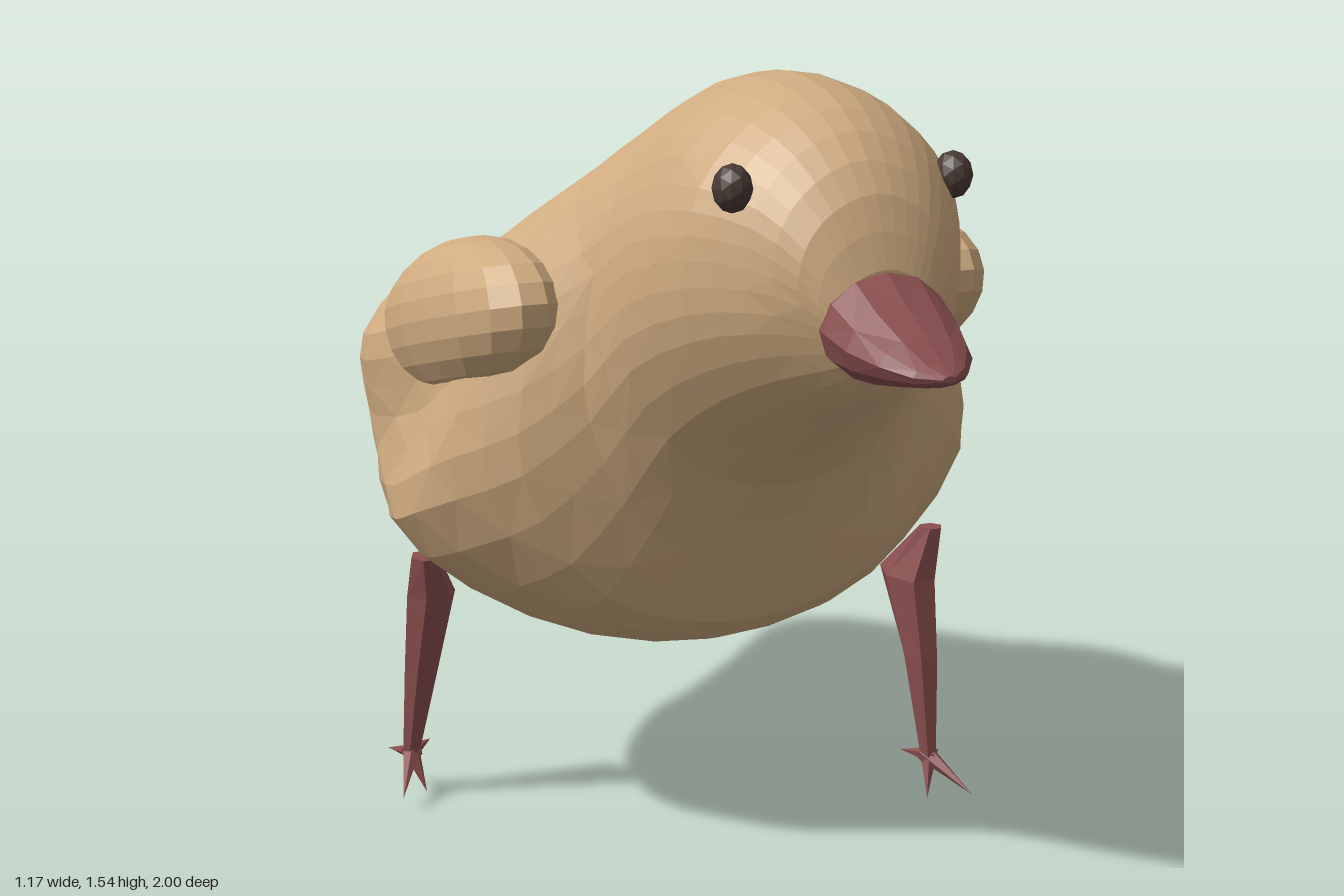
import * as THREE from 'three';

const mat = (name, color) => {
  const m = new THREE.MeshStandardMaterial({ color, flatShading: true });
  m.name = name;
  return m;
};

// Skin closed rings of points into one capped surface
function loft(rings) {
  const n = rings[0].length, pos = [], idx = [];
  const centre = (r) => r.reduce((s, p) => s.add(p), new THREE.Vector3()).divideScalar(n);
  rings.forEach((r) => r.forEach((p) => pos.push(p.x, p.y, p.z)));
  for (let i = 0; i < rings.length - 1; i++) {
    for (let j = 0; j < n; j++) {
      const a = i * n + j, b = i * n + (j + 1) % n, c = a + n, d = b + n;
      if ((i + j) % 2) idx.push(a, c, b, b, c, d);
      else idx.push(a, c, d, a, d, b);
    }
  }
  const last = (rings.length - 1) * n, first = rings.length * n;
  pos.push(...centre(rings[0]).toArray(), ...centre(rings[rings.length - 1]).toArray());
  for (let j = 0; j < n; j++) {
    const k = (j + 1) % n;
    idx.push(first, j, k, first + 1, last + k, last + j);
  }
  const g = new THREE.BufferGeometry();
  g.setAttribute('position', new THREE.Float32BufferAttribute(pos, 3));
  g.setIndex(idx);
  g.computeVertexNormals();
  return g;
}

// Add smooth in-between rings
function refine(rings) {
  const steps = (rings.length - 1) * 2;
  const curves = rings[0].map((_, j) => new THREE.CatmullRomCurve3(rings.map((r) => r[j])));
  return Array.from({ length: steps + 1 }, (_, i) => curves.map((c) => c.getPoint(i / steps)));
}

// Body sections: z, bottom, top, then half-widths at the levels below
const LEVELS = [0.08, 0.32, 0.55, 0.75, 0.92];
const BODY = [
  [0.78, 1.08, 1.26, 0.05, 0.08, 0.09, 0.08, 0.05],
  [0.74, 1.04, 1.38, 0.07, 0.12, 0.14, 0.13, 0.08],
  [0.66, 0.99, 1.475, 0.11, 0.19, 0.20, 0.18, 0.11],
  [0.55, 0.92, 1.53, 0.15, 0.25, 0.265, 0.235, 0.14],
  [0.40, 0.80, 1.55, 0.18, 0.30, 0.31, 0.265, 0.17],
  [0.30, 0.64, 1.54, 0.22, 0.34, 0.34, 0.29, 0.17],
  [0.22, 0.49, 1.525, 0.28, 0.44, 0.42, 0.33, 0.18],
  [0.10, 0.42, 1.47, 0.32, 0.53, 0.50, 0.40, 0.20],
  [0.00, 0.39, 1.39, 0.33, 0.58, 0.52, 0.48, 0.25],
  [-0.12, 0.38, 1.28, 0.33, 0.58, 0.53, 0.52, 0.34],
  [-0.30, 0.38, 1.20, 0.31, 0.54, 0.56, 0.57, 0.40],
  [-0.45, 0.43, 1.16, 0.28, 0.47, 0.53, 0.53, 0.40],
  [-0.56, 0.49, 1.13, 0.24, 0.40, 0.46, 0.44, 0.32],
  [-0.64, 0.55, 1.11, 0.19, 0.31, 0.34, 0.32, 0.22],
  [-0.80, 0.69, 1.06, 0.12, 0.19, 0.21, 0.19, 0.13],
  [-0.92, 0.79, 1.005, 0.07, 0.115, 0.13, 0.115, 0.075],
  [-0.975, 0.84, 0.96, 0.04, 0.065, 0.07, 0.06, 0.04],
  [-1.00, 0.89, 0.92, 0.01, 0.015, 0.015, 0.015, 0.01],
];

function bodyRing([z, bottom, top, ...w]) {
  const side = w.map((x, i) => new THREE.Vector3(x, bottom + (top - bottom) * LEVELS[i], z));
  const other = side.map((p) => new THREE.Vector3(-p.x, p.y, z)).reverse();
  const outline = new THREE.CatmullRomCurve3(
    [new THREE.Vector3(0, bottom, z), ...side, new THREE.Vector3(0, top, z), ...other], true);
  return Array.from({ length: 36 }, (_, i) => outline.getPoint(i / 36));
}

// Beak sections from the tip back: z, centre height, half-width, half-height
const BEAK = [
  [1.0, 1.12, 0.012, 0.006], [0.97, 1.121, 0.05, 0.02], [0.92, 1.132, 0.085, 0.042],
  [0.85, 1.145, 0.108, 0.068], [0.78, 1.163, 0.116, 0.093], [0.70, 1.168, 0.1, 0.09],
];

const ellipse = (n, fn) => Array.from({ length: n }, (_, i) => {
  const a = (i / n) * Math.PI * 2;
  return fn(Math.cos(a), Math.sin(a));
});

// Leg sections from the thigh down: x, y, z, half-width, half-depth
const LEGS = {
  leftLeg: [
    [0.49, 0.58, 0.06, 0.025, 0.025], [0.468, 0.47, 0.005, 0.048, 0.085],
    [0.48, 0.3, 0.048, 0.036, 0.045], [0.492, 0.09, 0.07, 0.018, 0.018],
  ],
  rightLeg: [
    [-0.495, 0.56, -0.21, 0.028, 0.04], [-0.472, 0.47, -0.25, 0.05, 0.055],
    [-0.482, 0.3, -0.295, 0.036, 0.035], [-0.495, 0.105, -0.34, 0.018, 0.018],
  ],
};

// Toe tips measured from the ankle
const TOES = [[0.05, -0.06, 0.1], [-0.02, -0.08, 0.035], [-0.05, 0.01, -0.03], [0.03, -0.01, -0.065]];

function toe(from, offset, material) {
  const dir = new THREE.Vector3(...offset), len = dir.length();
  const g = new THREE.ConeGeometry(0.02, len + 0.012, 5);
  g.translate(0, len / 2 - 0.006, 0);
  const m = new THREE.Mesh(g, material);
  m.name = 'toe';
  m.quaternion.setFromUnitVectors(new THREE.Vector3(0, 1, 0), dir.normalize());
  m.position.copy(from);
  return m;
}

export function createModel() {
  const model = new THREE.Group();
  model.name = 'chick';
  const down = mat('tan down', 0xcfab80);
  const horn = mat('dusky red', 0x8b4f50);
  const dark = mat('dark brown', 0x483a33);
  const add = (parent, name, geometry, material) => {
    const m = new THREE.Mesh(geometry, material);
    m.name = name;
    parent.add(m);
    return m;
  };

  // Body with head, thighs and tail
  add(model, 'body', loft(refine(BODY.map(bodyRing))), down);

  // Beak
  add(model, 'beak', loft(BEAK.map(([z, y, rx, ry]) =>
    ellipse(12, (c, s) => new THREE.Vector3(c * rx, y + s * ry, z)))), horn);

  for (const s of [1, -1]) {
    const side = s > 0 ? 'left' : 'right';

    // Folded wing, sloping down to the back
    const wing = add(model, side + 'Wing', new THREE.SphereGeometry(1, 18, 12), down);
    wing.scale.set(0.14, 0.155, 0.37);
    wing.position.set(s * 0.43, 1.055, -0.08);
    wing.rotation.x = -0.25;

    // Eye, set into the head
    const eye = add(model, side + 'Eye', new THREE.IcosahedronGeometry(0.042, 1), dark);
    eye.scale.set(0.8, 1, 0.95);
    eye.position.set(s * 0.207, 1.385, 0.622);
  }

  // Legs and feet
  for (const [name, sections] of Object.entries(LEGS)) {
    const leg = new THREE.Group();
    leg.name = name;
    add(leg, 'shank', loft(sections.map(([x, y, z, rx, rz]) =>
      ellipse(6, (c, s) => new THREE.Vector3(x + c * rx, y, z - s * rz)))), horn);
    const [x, y, z] = sections[sections.length - 1];
    for (const [tx, ty, tz] of TOES) {
      leg.add(toe(new THREE.Vector3(x, y, z), [tx * Math.sign(x), ty, tz], horn));
    }
    model.add(leg);
  }
  return model;
}
